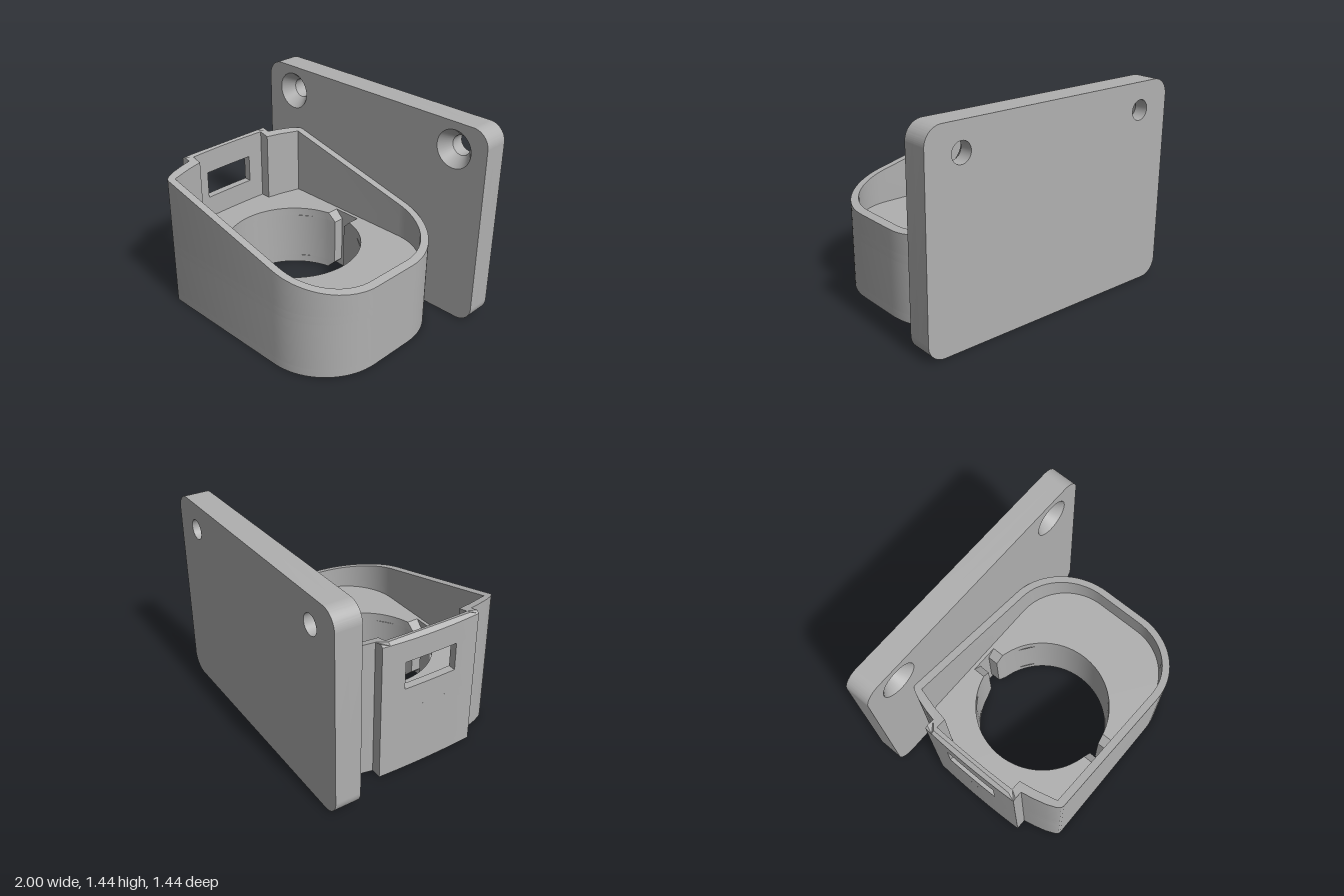
import * as THREE from 'three';
import { toCreasedNormals } from 'three/addons/utils/BufferGeometryUtils.js';

const material = new THREE.MeshStandardMaterial({ color: 0xb0b0b0 });
material.name = 'grey plastic';

// Moves every vertex of a geometry by a rule
function reshape(geometry, rule) {
  const pos = geometry.attributes.position;
  const v = new THREE.Vector3();
  for (let i = 0; i < pos.count; i++) {
    v.fromBufferAttribute(pos, i);
    rule(v);
    pos.setXYZ(i, v.x, v.y, v.z);
  }
  return geometry;
}

function addMesh(group, name, geometry) {
  const mesh = new THREE.Mesh(toCreasedNormals(geometry, 0.5), material);
  mesh.name = name;
  group.add(mesh);
}

// Upright prism over a plan outline of [x, z] points
function prism(points, y0, y1, holes = []) {
  const toVectors = (list) => list.map(([x, z]) => new THREE.Vector2(x, -z));
  const shape = new THREE.Shape(toVectors(points));
  holes.forEach((h) => shape.holes.push(new THREE.Path(toVectors(h))));
  const g = new THREE.ExtrudeGeometry(shape, { depth: y1 - y0, bevelEnabled: false });
  return g.rotateX(-Math.PI / 2).translate(0, y0, 0);
}

const mirror = (points) => points.map(([x, z]) => [x, -z]);

// Quarter arc from the +x side to the +z side
function arc(cx, cz, r, n = 18) {
  return Array.from({ length: n + 1 }, (_, i) => {
    const a = (i / n) * Math.PI / 2;
    return [cx + r * Math.cos(a), cz + r * Math.sin(a)];
  });
}

const FLOOR = 0.47, RIDGE = -0.815, TAB = 0.37, STEP = 0.315;
const bulge = (z) => 0.01 * (z / TAB) ** 2;
const rimHeight = (x) => x >= RIDGE - 1e-4
  ? 0.61 + (0.83 - x) * 0.2395
  : 1.004 - (RIDGE - x) * 0.8;

// Cuts the upper end of a prism along the sloping rim
const slopeTop = (g) => reshape(g, (v) => { if (v.y > 1.1) v.y = rimHeight(v.x); });

const outerHalf = [
  ...arc(0.37, 0.168, 0.46),
  [-0.655, 0.628], [-0.672, 0.622], [-0.69, 0.6], [-0.717, 0.54], [-0.743, 0.45], [-0.76, TAB],
];

// Bore with a key slot at front and back
const BORE_X = -0.105, BORE_R = 0.475, SLOT_R = 0.55, NARROW = 0.045, WIDE = 0.105;
function boreOutline(w) {
  const mouth = Math.sqrt(BORE_R ** 2 - w ** 2);
  const a0 = Math.asin(0.115 / BORE_R), n = 40;
  const side = [];
  for (let i = 0; i <= n; i++) {
    const a = a0 + (i / n) * (Math.PI - 2 * a0);
    side.push([BORE_R * Math.sin(a), BORE_R * Math.cos(a)]);
  }
  const half = [[w, SLOT_R], [w, mouth], ...side, [w, -mouth], [w, -SLOT_R]];
  return [...half, ...half.map(([x, z]) => [-x, -z])].map(([x, z]) => [x + BORE_X, z]);
}

function createHousing() {
  const housing = new THREE.Group();
  housing.name = 'housing';
  housing.position.z = 0.0875;

  // Thick floor in three layers, the outer two with chamfered slots
  const tab = [];
  for (let i = 0; i <= 6; i++) {
    const z = TAB * (1 - i / 6);
    tab.push([-0.845 + bulge(z), z]);
  }
  const half = [...outerHalf, ...tab];
  const outline = [...half, ...mirror(half.slice(0, -1)).reverse()];
  const c = 0.06;
  const chamfered = (y0, y1, innerY) => reshape(prism(outline, y0, y1, [boreOutline(WIDE)]), (v) => {
    const dx = v.x - BORE_X, r = Math.abs(v.z);
    if (Math.abs(v.y - innerY) > 1e-4 || Math.abs(dx) > WIDE + 1e-4 || r > SLOT_R + 0.001 || r < 0.4) return;
    v.x = BORE_X + Math.sign(dx) * NARROW;
    if (r < 0.5) v.z = Math.sign(v.z) * Math.sqrt(BORE_R ** 2 - NARROW ** 2);
  });
  addMesh(housing, 'floorBottom', chamfered(0, c, c));
  addMesh(housing, 'floorCore', prism(outline, c, FLOOR - c, [boreOutline(NARROW)]));
  addMesh(housing, 'floorTop', chamfered(FLOOR - c, FLOOR, FLOOR - c));

  // Mirrored wall halves with sloping rim
  const wall = [
    [0.83, 0], ...outerHalf,
    [RIDGE, TAB], [-0.835, TAB], [-0.845 + bulge(STEP), STEP], [RIDGE, STEP],
    [-0.78, STEP], [-0.71, STEP], [-0.69, 0.425], [-0.65, 0.575],
    ...arc(0.37, 0.17, 0.405).reverse(), [0.775, 0],
  ];
  addMesh(housing, 'wallFront', slopeTop(prism(wall, FLOOR, 1.2)));
  addMesh(housing, 'wallBack', slopeTop(prism(mirror(wall), FLOOR, 1.2)));

  // Thin bowed end panel around the window
  function panel(name, z0, z1, y0, y1) {
    const outer = [], inner = [], n = 8;
    for (let i = 0; i <= n; i++) {
      const z = z0 + (z1 - z0) * i / n;
      outer.push([-0.845 + bulge(z), z]);
      inner.push([-0.79 + bulge(z), z]);
    }
    const ridge = [[RIDGE, z1], [RIDGE, z0]];
    addMesh(housing, name + 'Outside', slopeTop(prism([...outer, ...ridge], y0, y1)));
    addMesh(housing, name + 'Inside', slopeTop(prism([...inner, ...ridge], y0, y1)));
  }
  const w = 0.197;
  panel('windowSill', -STEP, STEP, FLOOR, 0.63);
  panel('windowSideBack', -STEP, -w, 0.63, 0.83);
  panel('windowSideFront', w, STEP, 0.63, 0.83);
  panel('windowHeader', -STEP, STEP, 0.83, 1.2);
  return housing;
}

function createPlate() {
  const plate = new THREE.Group();
  plate.name = 'mountingPlate';
  const H = 1.44, R = 0.12, HOLE_X = 0.745, HOLE_Y = 1.25, SMALL = 0.07, LARGE = 0.135;
  function layer(z0, z1, r) {
    const s = new THREE.Shape();
    s.absarc(1 - R, R, R, -Math.PI / 2, 0);
    s.absarc(1 - R, H - R, R, 0, Math.PI / 2);
    s.absarc(-1 + R, H - R, R, Math.PI / 2, Math.PI);
    s.absarc(-1 + R, R, R, Math.PI, Math.PI * 1.5);
    for (const side of [-1, 1]) {
      s.holes.push(new THREE.Path().absarc(side * HOLE_X, HOLE_Y, r, 0, Math.PI * 2, true));
    }
    return new THREE.ExtrudeGeometry(s, { depth: z1 - z0, bevelEnabled: false, curveSegments: 18 }).translate(0, 0, z0);
  }
  addMesh(plate, 'plateBack', layer(-0.72, -0.625, SMALL));
  // Countersunk front layer: holes taper towards the back
  addMesh(plate, 'plateFront', reshape(layer(-0.625, -0.54, LARGE), (v) => {
    const cx = Math.sign(v.x) * HOLE_X;
    const dx = v.x - cx, dy = v.y - HOLE_Y;
    if (v.z < -0.6 && Math.hypot(dx, dy) < LARGE + 0.001) {
      v.x = cx + dx * SMALL / LARGE;
      v.y = HOLE_Y + dy * SMALL / LARGE;
    }
  }));
  return plate;
}

export function createModel() {
  const model = new THREE.Group();
  model.name = 'wallMountedHolder';
  model.add(createPlate(), createHousing());
  return model;
}
